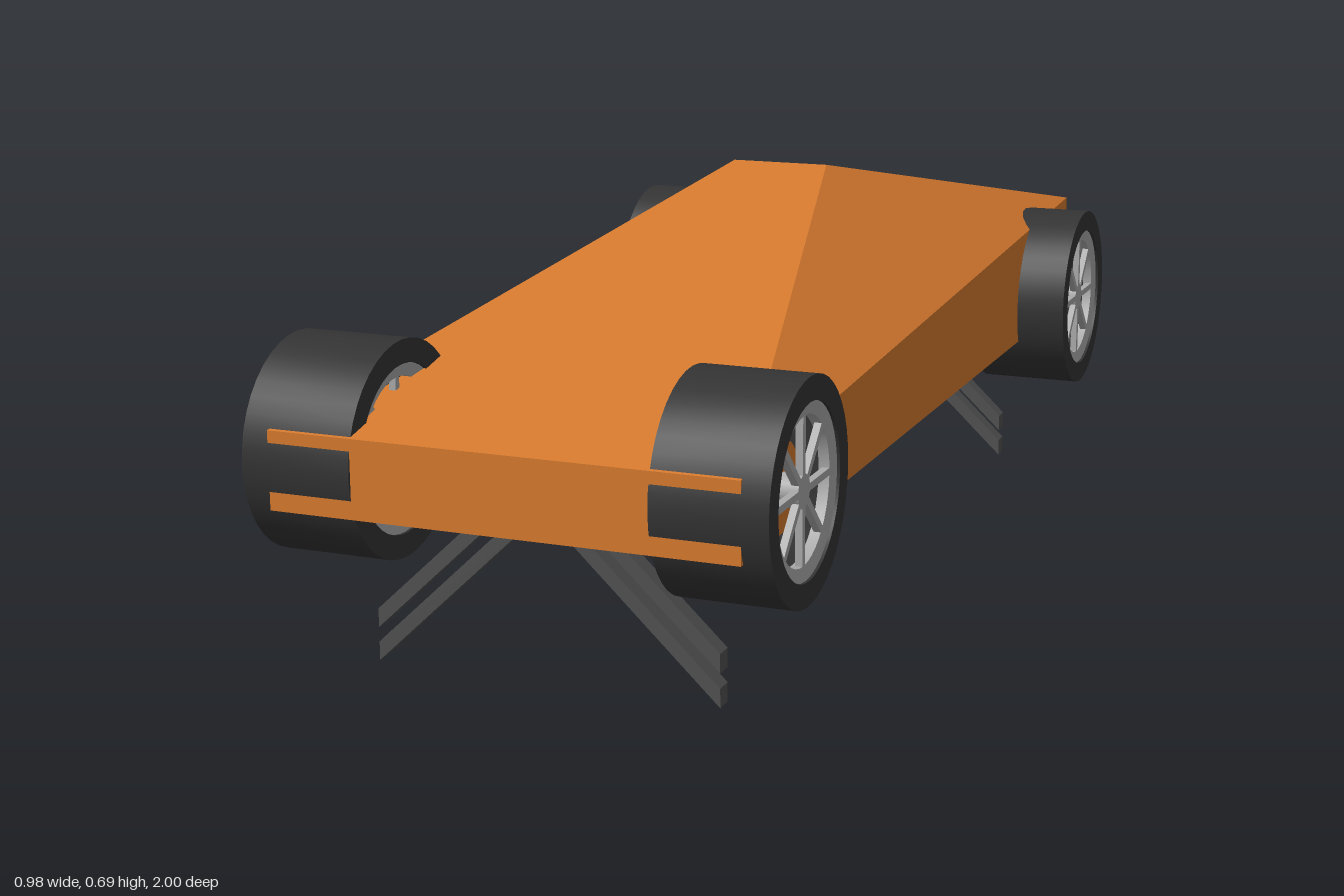
import * as THREE from 'three';
import { toCreasedNormals } from 'three/addons/utils/BufferGeometryUtils.js';

const paint = (color) => new THREE.MeshStandardMaterial({ color });
const ORANGE = paint(0xd67a2e);
ORANGE.flatShading = true;
const RUBBER = paint(0x333333), DISH = paint(0x555555), METAL = paint(0xaaaaaa);
const ARM = paint(0x505050), LAMP = paint(0x550a10);

function part(name, geometry, material) {
  const mesh = new THREE.Mesh(geometry, material);
  mesh.name = name;
  return mesh;
}

// Wedge body: floor, shoulder line and a narrow roof ridge
function makeBody() {
  const w = 0.395, f = 0.995;
  const corners = [
    [-w, 0.29, f], [w, 0.29, f], [w, 0.29, -1], [-w, 0.29, -1],
    [-w, 0.42, f], [w, 0.42, f], [w, 0.53, -1], [-w, 0.53, -1],
    [-0.095, 0.69, -0.25], [0.095, 0.69, -0.25],
  ];
  const faces = [
    [3, 2, 1, 0], [0, 1, 5, 4], [2, 3, 7, 6], [1, 2, 6, 5], [3, 0, 4, 7],
    [4, 5, 9, 8], [6, 7, 8, 9], [5, 6, 9], [7, 4, 8],
  ];
  const pos = [];
  for (const face of faces) {
    for (let i = 1; i < face.length - 1; i++) {
      pos.push(...corners[face[0]], ...corners[face[i]], ...corners[face[i + 1]]);
    }
  }
  const geo = new THREE.BufferGeometry();
  geo.setAttribute('position', new THREE.Float32BufferAttribute(pos, 3));
  geo.computeVertexNormals();
  return part('body', geo, ORANGE);
}

function lathe(profile, segments = 40) {
  const points = profile.map(([r, y]) => new THREE.Vector2(r, y));
  return toCreasedNormals(new THREE.LatheGeometry(points, segments), 0.3);
}

// Wheel about the x axis, dished alike on both faces
function makeWheel(name) {
  const wheel = new THREE.Group();
  wheel.name = name;
  const spin = new THREE.Group();
  spin.rotation.z = -Math.PI / 2;
  wheel.add(spin);
  spin.add(part('tire', lathe([
    [0.14, -0.07], [0.14, -0.095], [0.18, -0.095],
    [0.18, 0.095], [0.14, 0.095], [0.14, 0.07],
  ]), RUBBER));
  spin.add(part('wheelDish', lathe([
    [0.001, -0.02], [0.075, -0.05], [0.14, -0.076],
    [0.14, 0.076], [0.075, 0.05], [0.001, 0.02],
  ]), DISH));
  for (const side of [-1, 1]) {
    const face = new THREE.Group();
    face.name = 'rimFace';
    if (side < 0) face.rotation.x = Math.PI;
    face.add(part('rim', lathe([
      [0.118, 0.06], [0.14, 0.06], [0.14, 0.09], [0.118, 0.085], [0.118, 0.06],
    ]), METAL));
    const hub = part('hub', new THREE.CylinderGeometry(0.027, 0.027, 0.06, 20), METAL);
    hub.position.y = 0.055;
    face.add(hub);
    for (let i = 0; i < 8; i++) {
      const geo = new THREE.BoxGeometry(0.1, 0.012, 0.012);
      geo.translate(0.073, 0.079, 0);
      const spoke = part('spoke', geo, METAL);
      spoke.rotation.y = (i * Math.PI) / 4;
      face.add(spoke);
    }
    spin.add(face);
  }
  return wheel;
}

// Slanted bar with upright ends, running from (x0, y0) to (x1, y1)
function makeBar(name, x0, y0, x1, y1, height, depth) {
  const shape = new THREE.Shape([
    new THREE.Vector2(x0, y0), new THREE.Vector2(x1, y1),
    new THREE.Vector2(x1, y1 + height), new THREE.Vector2(x0, y0 + height),
  ]);
  const geo = new THREE.ExtrudeGeometry(shape, { depth, bevelEnabled: false });
  geo.translate(0, 0, -depth / 2);
  return part(name, geo, ARM);
}

// Wheel and suspension bars for one side of one axle
function makeCorner(name, wheelX, shift) {
  const corner = new THREE.Group();
  corner.name = name;
  const wheel = makeWheel(name + 'Wheel');
  wheel.position.set(wheelX, 0.36, 0);
  corner.add(wheel);
  corner.add(makeBar('lowerArm', 0, 0.285 + shift, 0.3 + shift, 0.003 * (shift > 0 ? 1 : 0), 0.032, 0.032));
  corner.add(makeBar('upperArm', 0, 0.34 + shift, 0.3 + shift, 0.057, 0.032, 0.032));
  corner.add(makeBar('axleArm', 0, 0.293, wheelX, 0.278, 0.03, 0.032));
  return corner;
}

export function createModel() {
  const model = new THREE.Group();
  model.name = 'car';
  model.add(makeBody());

  // Red lamp strip across the tail
  const lamp = part('tailLamp', new THREE.BoxGeometry(0.66, 0.085, 0.01), LAMP);
  lamp.position.set(0, 0.413, -0.998);
  model.add(lamp);

  const axles = [['front', 0.82, 0.345, 0], ['rear', -0.77, 0.395, 0.02]];
  for (const [name, z, wheelX, shift] of axles) {
    for (const side of [-1, 1]) {
      const corner = makeCorner(name + (side > 0 ? 'Left' : 'Right'), wheelX, shift);
      corner.position.z = z;
      corner.scale.x = side;
      model.add(corner);
    }
  }
  return model;
}
